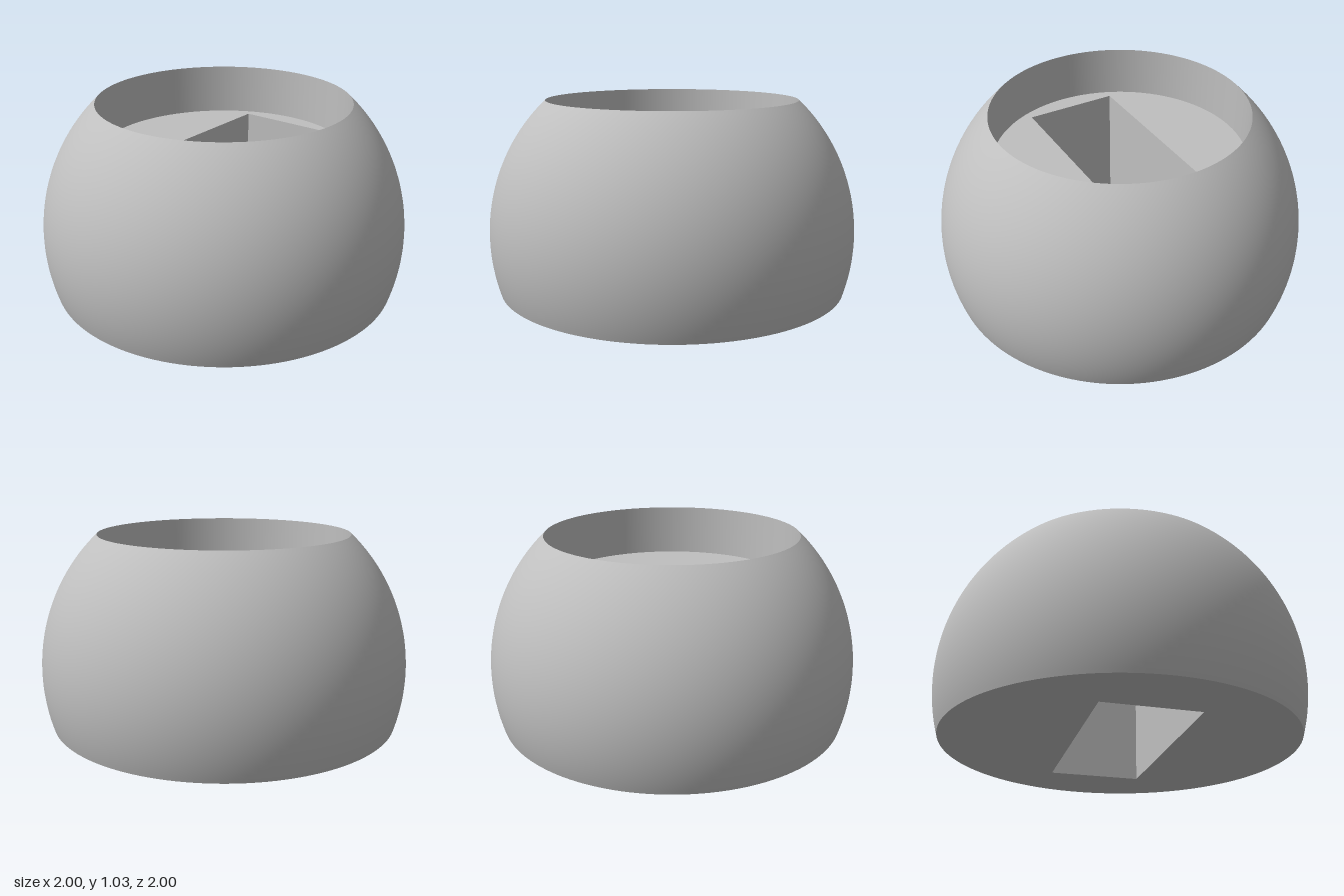
import * as THREE from 'three';

const CENTER_Y = 0.3, TOP = 1.03, FLOOR = 0.75;
const SLOT_LENGTH = 1.16, SLOT_WIDTH = 0.515, SLOT_ANGLE = 0.325;
const SEGMENTS = 128;

export function createModel() {
  const grey = new THREE.MeshStandardMaterial({ color: 0xbfbfbf });
  grey.name = 'grey';
  const group = new THREE.Group();
  group.name = 'slottedDome';

  const add = (name, geometry) => {
    const mesh = new THREE.Mesh(geometry, grey);
    mesh.name = name;
    group.add(mesh);
    return mesh;
  };

  // Truncated unit sphere, from the base up to the rim
  const start = Math.asin(-CENTER_Y), end = Math.asin(TOP - CENTER_Y);
  const profile = [];
  for (let i = 0; i <= 48; i++) {
    const a = start + (end - start) * i / 48;
    profile.push(new THREE.Vector2(Math.cos(a), CENTER_Y + Math.sin(a)));
  }
  add('outerShell', new THREE.LatheGeometry(profile, SEGMENTS));

  // Round recess wall, facing inward
  const baseRadius = Math.cos(start), rimRadius = Math.cos(end);
  add('recessWall', new THREE.LatheGeometry([
    new THREE.Vector2(rimRadius, TOP),
    new THREE.Vector2(rimRadius, FLOOR),
  ], SEGMENTS));

  // Flat discs pierced by the slot
  const disc = (name, radius, y, tilt) => {
    const shape = new THREE.Shape().absarc(0, 0, radius, 0, Math.PI * 2, false);
    const w = SLOT_LENGTH / 2, d = SLOT_WIDTH / 2;
    shape.holes.push(new THREE.Path([
      new THREE.Vector2(-w, -d), new THREE.Vector2(-w, d),
      new THREE.Vector2(w, d), new THREE.Vector2(w, -d),
    ]));
    add(name, new THREE.ShapeGeometry(shape, SEGMENTS).rotateX(tilt).translate(0, y, 0));
  };
  disc('recessFloor', rimRadius, FLOOR, -Math.PI / 2);
  disc('base', baseRadius, 0, Math.PI / 2);

  // Four slot walls, facing inward
  for (let i = 0; i < 4; i++) {
    const isLong = i % 2 === 0;
    const width = isLong ? SLOT_LENGTH : SLOT_WIDTH;
    const offset = (isLong ? SLOT_WIDTH : SLOT_LENGTH) / 2;
    add('slotWall' + (i + 1), new THREE.PlaneGeometry(width, FLOOR)
      .translate(0, FLOOR / 2, -offset)
      .rotateY(i * Math.PI / 2));
  }

  // The body is round, so turning it only sets the slot direction
  group.rotation.y = SLOT_ANGLE;
  return group;
}
